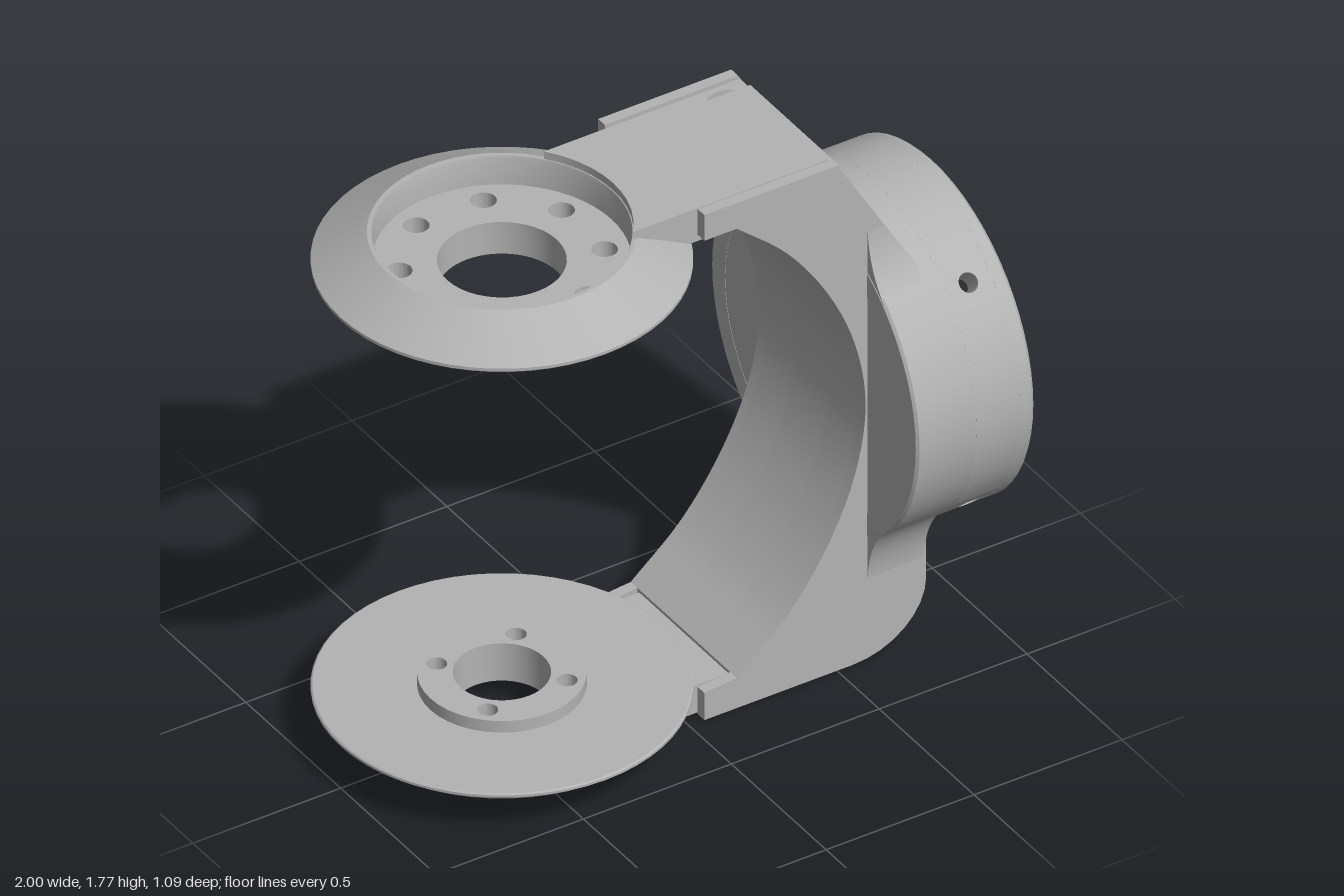
import * as THREE from 'three';
import { toCreasedNormals } from 'three/addons/utils/BufferGeometryUtils.js';

const MID = 0.895;      // height of the cup axis
const DISC_X = -0.455;  // axis of both discs
const gray = new THREE.MeshStandardMaterial({ color: 0xb3b3b3 });
gray.name = 'machined gray';

function add(group, name, geo) {
  const m = new THREE.Mesh(toCreasedNormals(geo, 0.5), gray);
  m.name = name;
  group.add(m);
  return m;
}

const toShape = (pts) => new THREE.Shape(pts.map(([x, y]) => new THREE.Vector2(x, y)));
function withHoles(shape, holes) {
  for (const [x, y, r] of holes) {
    const p = new THREE.Path();
    p.absarc(x, y, r, 0, Math.PI * 2, true);
    shape.holes.push(p);
  }
  return shape;
}
const extrude = (shape, depth) =>
  new THREE.ExtrudeGeometry(shape, { depth, bevelEnabled: false, curveSegments: 20 });

// Flat plate lying between two heights; plan coordinates are (x, -z)
const plate = (shape, y0, y1) => extrude(shape, y1 - y0).rotateX(-Math.PI / 2).translate(0, y0, 0);

// Closed counter-clockwise (radius, height) profile turned about y
function turned(pts, start = 0, length = Math.PI * 2, segs = 60) {
  const p = [...pts, pts[0]].map(([r, y]) => new THREE.Vector2(r, y));
  return new THREE.LatheGeometry(p, segs, start, length);
}

const circle = (r) => {
  const s = new THREE.Shape();
  s.absarc(0, 0, r, 0, Math.PI * 2);
  return s;
};
const holeRing = (n, dist, r, offset) => Array.from({ length: n }, (_, i) => {
  const a = offset + (i * Math.PI * 2) / n;
  return [dist * Math.cos(a), dist * Math.sin(a), r];
});

// Tongue outline starting on an arc round the disc axis
function tongue(arcR, half0, half1, x1, holes) {
  const pts = [[x1, half0], [x1, half1]];
  for (let i = 0; i <= 10; i++) {
    const z = half1 + ((half0 - half1) * i) / 10;
    pts.push([DISC_X + Math.sqrt(arcR * arcR - z * z), z]);
  }
  return withHoles(toShape(pts), holes);
}

// Quarter ellipse from the back edge round to the underside
const corner = (cx, cy, rx, ry) => Array.from({ length: 9 }, (_, i) => {
  const a = (i / 8) * Math.PI / 2;
  return [cx + rx * Math.cos(a), cy - ry * Math.sin(a)];
});

function buildArm(g) {
  const half = [[0.16, 0.11], [0.33, 0.262], [0.47, 0.46], [0.56, 0.67], [0.595, MID]];
  const knots = [...half, ...half.slice(0, 4).reverse().map(([x, y]) => [x, 2 * MID - y])];
  const inner = new THREE.CatmullRomCurve3(knots.map(([x, y]) => new THREE.Vector3(x, y, 0)))
    .getPoints(40).map((p) => [p.x, p.y]);
  const upperBack = [[0.74, 1.365], [0.65, 1.36], [0.65, 0.42]];
  const railTop = [[0.05, 1.68], [0.05, 1.77], [0.5, 1.77]];
  const slotTop = [[0.16, 1.69], [0.547, 1.69]];
  const heel = [[0.8, 0.42], ...corner(0.55, 0.22, 0.25, 0.215)];
  const rail = [...inner, ...railTop, ...upperBack, ...heel, [0.05, 0.005], [0.05, 0.1]];
  const side = [...inner, ...slotTop, ...upperBack, ...heel, [0.5, 0.005], [0.5, 0.085], [0.16, 0.085]];
  const core = [...inner, ...slotTop, ...upperBack, [0.7, 0.42],
    ...corner(0.53, 0.25, 0.17, 0.165), [0.16, 0.085]];
  const slab = (name, pts, z0, z1) =>
    add(g, name, extrude(toShape(pts), z1 - z0).translate(0, 0, z0));
  slab('armCore', core, -0.095, 0.095);
  for (const s of [1, -1]) {
    const band = (a, b) => (s > 0 ? [a, b] : [-b, -a]);
    slab('armRail', rail, ...band(0.245, 0.28));
    slab('armSide', side, ...band(0.095, 0.245));
    // Curved gussets where the arm flares into the cup
    for (const up of [1, -1]) {
      const y = (v) => MID + up * (v - MID);
      const f = new THREE.Shape();
      f.moveTo(s * 0.27, y(1.5));
      f.lineTo(s * 0.28, y(1.5));
      f.quadraticCurveTo(s * 0.29, y(1.37), s * 0.37, y(1.29));
      f.lineTo(s * 0.27, y(1.29));
      const geo = extrude(f, 0.19).rotateY(Math.PI / 2).translate(0.602, 0, 0);
      const p = geo.attributes.position;
      if (up > 0) {
        for (let i = 0; i < p.count; i++) {
          p.setX(i, Math.min(p.getX(i), 0.74, 0.5 + (1.77 - p.getY(i)) * 0.593));
        }
      }
      add(g, 'armGusset', geo);
    }
  }
}

function buildCup(g) {
  const R = 0.545, r = 0.47;
  const lay = (geo) => geo.rotateZ(-Math.PI / 2).translate(0, MID, 0);
  add(g, 'cupBase', lay(turned([[r, 0.6], [R - 0.008, 0.6], [R, 0.608], [R, 0.8], [r, 0.8]])));
  add(g, 'cupRim', lay(turned([[r, 0.95], [R, 0.95], [R, 0.988], [R - 0.012, 1], [r + 0.008, 1], [r, 0.992]])));
  add(g, 'cupFloor', lay(new THREE.CylinderGeometry(r + 0.01, r + 0.01, 0.049, 60).translate(0, 0.6255, 0)));
  const a = Math.PI / 24;
  for (let k = 0; k < 4; k++) {
    const mid = Math.PI / 4 + (k * Math.PI) / 2;
    add(g, 'cupBand', lay(turned([[r, 0.8], [R, 0.8], [R, 0.95], [r, 0.95]], mid + a, Math.PI / 2 - 2 * a, 15)));
    // Patch of the band with a radial set-screw hole, bent to the cup radius
    const w = a * R;
    const patch = withHoles(toShape([[-w, 0.8], [0, 0.8], [w, 0.8], [w, 0.95], [0, 0.95], [-w, 0.95]]),
      [[0, 0.875, 0.03]]);
    const geo = extrude(patch, R - r);
    const p = geo.attributes.position;
    for (let i = 0; i < p.count; i++) {
      const th = mid - p.getX(i) / R, rad = r + p.getZ(i);
      p.setXYZ(i, p.getY(i), MID + rad * Math.sin(th), rad * Math.cos(th));
    }
    add(g, 'cupScrewHole', geo);
  }
}

function buildUpperDisc(g) {
  const onAxis = (geo) => geo.translate(DISC_X, 0, 0);
  add(g, 'upperFlange', onAxis(turned([[0.37, 1.6], [0.4, 1.63], [0.54, 1.632], [0.545, 1.637],
    [0.545, 1.647], [0.385, 1.74], [0.372, 1.74], [0.37, 1.735]])));
  add(g, 'upperHub', onAxis(turned([[0.335, 1.515], [0.34, 1.51], [0.36, 1.51], [0.365, 1.515],
    [0.365, 1.53], [0.395, 1.53], [0.4, 1.535], [0.4, 1.635], [0.335, 1.635]])));
  add(g, 'upperBoreCollar', onAxis(turned([[0.185, 1.53], [0.22, 1.53], [0.22, 1.6], [0.185, 1.6]])));
  const floor = withHoles(circle(0.372), [[0, 0, 0.185], ...holeRing(8, 0.297, 0.038, Math.PI / 8)]);
  add(g, 'upperFloor', onAxis(plate(floor, 1.56, 1.64)));
  // Tongue that bolts into the slot of the arm
  const screws = (r) => [[0.41, 0.145, r], [0.41, -0.145, r]];
  add(g, 'upperTongueTop', plate(tongue(0.375, 0.235, -0.235, 0.5, [...screws(0.07), [0.04, -0.13, 0.05]]), 1.73, 1.765));
  add(g, 'upperTongue', plate(tongue(0.375, 0.235, -0.235, 0.535, screws(0.035)), 1.69, 1.73));
  add(g, 'upperTongueRoot', plate(tongue(0.375, 0.235, -0.235, 0.085, []), 1.65, 1.69));
}

function buildLowerDisc(g) {
  const onAxis = (geo) => geo.translate(DISC_X, 0, 0);
  add(g, 'lowerDish', onAxis(turned([[0.238, 0.07], [0.27, 0.07], [0.27, 0.012], [0.3, 0.012],
    [0.37, 0.037], [0.44, 0.074], [0.5, 0.113], [0.545, 0.148], [0.545, 0.156], [0.54, 0.16], [0.238, 0.16]])));
  const boss = withHoles(circle(0.242), [[0, 0, 0.14], ...holeRing(4, 0.19, 0.03, Math.PI / 4)]);
  add(g, 'lowerBoss', onAxis(plate(boss, 0.07, 0.2)));
  // Tongue under the arm, split by a central cable channel
  add(g, 'lowerTongueWeb', plate(tongue(0.275, 0.235, -0.235, 0.5, []), 0.07, 0.1));
  for (const s of [1, -1]) {
    const small = [[0.15, s * 0.165, 0.025], [-0.18, s * 0.165, 0.025]];
    const strip = (bore) => tongue(0.275, s * 0.235, s * 0.09, 0.5, [[0.41, s * 0.16, bore], ...small]);
    add(g, 'lowerTongueRail', plate(strip(0.06), 0.003, 0.04));
    add(g, 'lowerTongueRail', plate(strip(0.03), 0.04, 0.07));
  }
}

export function createModel() {
  const model = new THREE.Group();
  model.name = 'gimbalBracket';
  const parts = { arm: buildArm, cup: buildCup, upperDisc: buildUpperDisc, lowerDisc: buildLowerDisc };
  for (const [name, build] of Object.entries(parts)) {
    const g = new THREE.Group();
    g.name = name;
    build(g);
    model.add(g);
  }
  return model;
}
